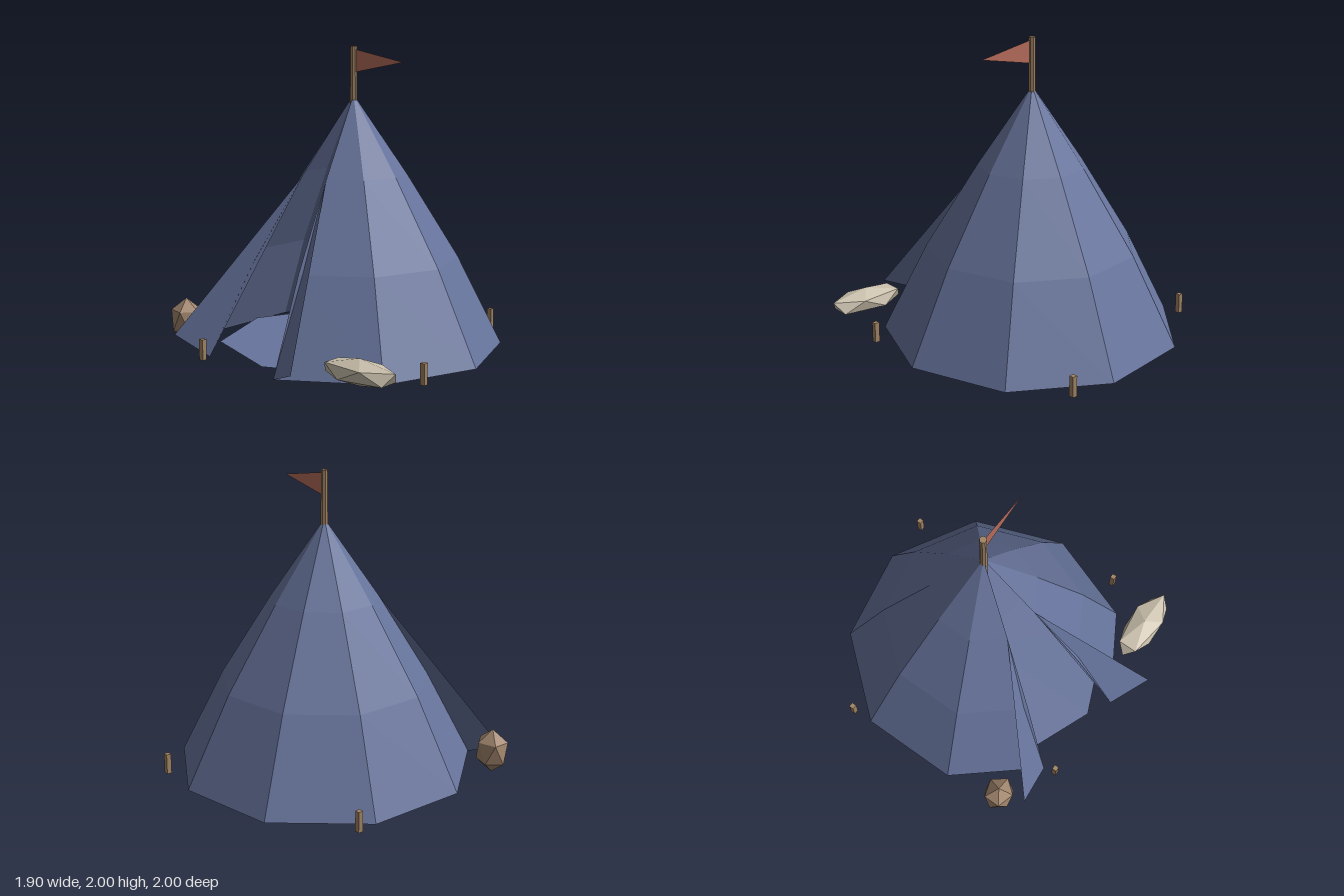
import * as THREE from 'three';

const CX = -0.03, CZ = -0.065; // tent axis
const GROUND = 0.1;
const deg = THREE.MathUtils.degToRad;

function material(name, color, side = THREE.FrontSide) {
  const m = new THREE.MeshStandardMaterial({ color, side, flatShading: true });
  m.name = name;
  return m;
}

function flat(geometry) {
  const g = geometry.index ? geometry.toNonIndexed() : geometry;
  g.computeVertexNormals();
  return g;
}

// single triangle from three Vector3 corners
function triangle(a, b, c) {
  return flat(new THREE.BufferGeometry().setFromPoints([a, b, c]));
}

// icosahedron with one corner straight up and an upper-ring corner toward +x
function rockGeometry(rx, ry, rz) {
  const t = (1 + Math.sqrt(5)) / 2;
  const g = new THREE.IcosahedronGeometry(1, 0);
  g.rotateZ(Math.atan(1 / t)).rotateY(Math.PI).scale(rx, ry, rz);
  return flat(g);
}

export function createModel() {
  const group = new THREE.Group();
  const canvas = material('blue canvas', 0x67749c, THREE.DoubleSide);
  const wood = material('wood', 0x9f8263);
  const flagRed = material('flag red', 0xb46c5b, THREE.DoubleSide);
  const brownStone = material('brown stone', 0xa2866e);
  const paleStone = material('pale stone', 0xcac0ad);

  function add(name, geometry, mat, x = 0, y = 0, z = 0) {
    const mesh = new THREE.Mesh(geometry, mat);
    mesh.name = name;
    mesh.position.set(x, y, z);
    group.add(mesh);
    return mesh;
  }

  // canvas wall: nine-sided bell with one side left open for the door
  const profile = [[0.95, GROUND], [0.665, 0.67], [0.338, 1.2], [0.02, 1.67]]
    .map(([r, y]) => new THREE.Vector2(r, y));
  const wall = new THREE.LatheGeometry(profile, 8, deg(10), deg(320));
  add('tentWall', flat(wall), canvas, CX, 0, CZ);

  // door flaps folded outward from both edges of the opening
  const wallPoint = (angle, { x, y }) => new THREE.Vector3(
    CX + x * Math.cos(deg(angle)), y, CZ + x * Math.sin(deg(angle)));
  const flaps = [
    ['leftDoorFlap', 80, new THREE.Vector3(0.39, 0.2, 1.0)],
    ['rightDoorFlap', 120, new THREE.Vector3(-0.785, 0.2, 0.79)],
  ];
  for (const [name, angle, tip] of flaps) {
    const top = wallPoint(angle, profile[2]);
    const bottom = wallPoint(angle, profile[0]);
    add(name, triangle(top, bottom, tip), canvas);
  }

  // octagonal ground sheet, slightly above the hem
  const floor = new THREE.CircleGeometry(0.855, 8).rotateX(-Math.PI / 2);
  add('groundSheet', floor, canvas, CX, GROUND + 0.03, CZ);

  // tapered centre pole with a flat side to the front
  const pole = new THREE.CylinderGeometry(0.022, 0.031, 2, 8).rotateY(Math.PI / 8);
  add('centrePole', flat(pole), wood, CX, 1, CZ);

  // pennant
  add('pennant', triangle(
    new THREE.Vector3(0, -0.07, 0),
    new THREE.Vector3(0.37, 0, 0),
    new THREE.Vector3(0, 0.07, 0)), flagRed, -0.01, 1.91, CZ);

  // ground pegs
  for (const angle of [27, 117, 207, 297]) {
    add('groundPeg', new THREE.BoxGeometry(0.032, 0.13, 0.032), wood,
      CX + 1.008 * Math.cos(deg(angle)), GROUND + 0.065, CZ + 1.008 * Math.sin(deg(angle)));
  }

  // rocks beside the door
  add('brownRock', rockGeometry(0.115, 0.143, 0.104), brownStone, -0.846, 0.258, 0.627);
  add('paleRock', rockGeometry(0.285, 0.08, 0.121), paleStone, 0.692, 0.225, 0.758);

  return group;
}
